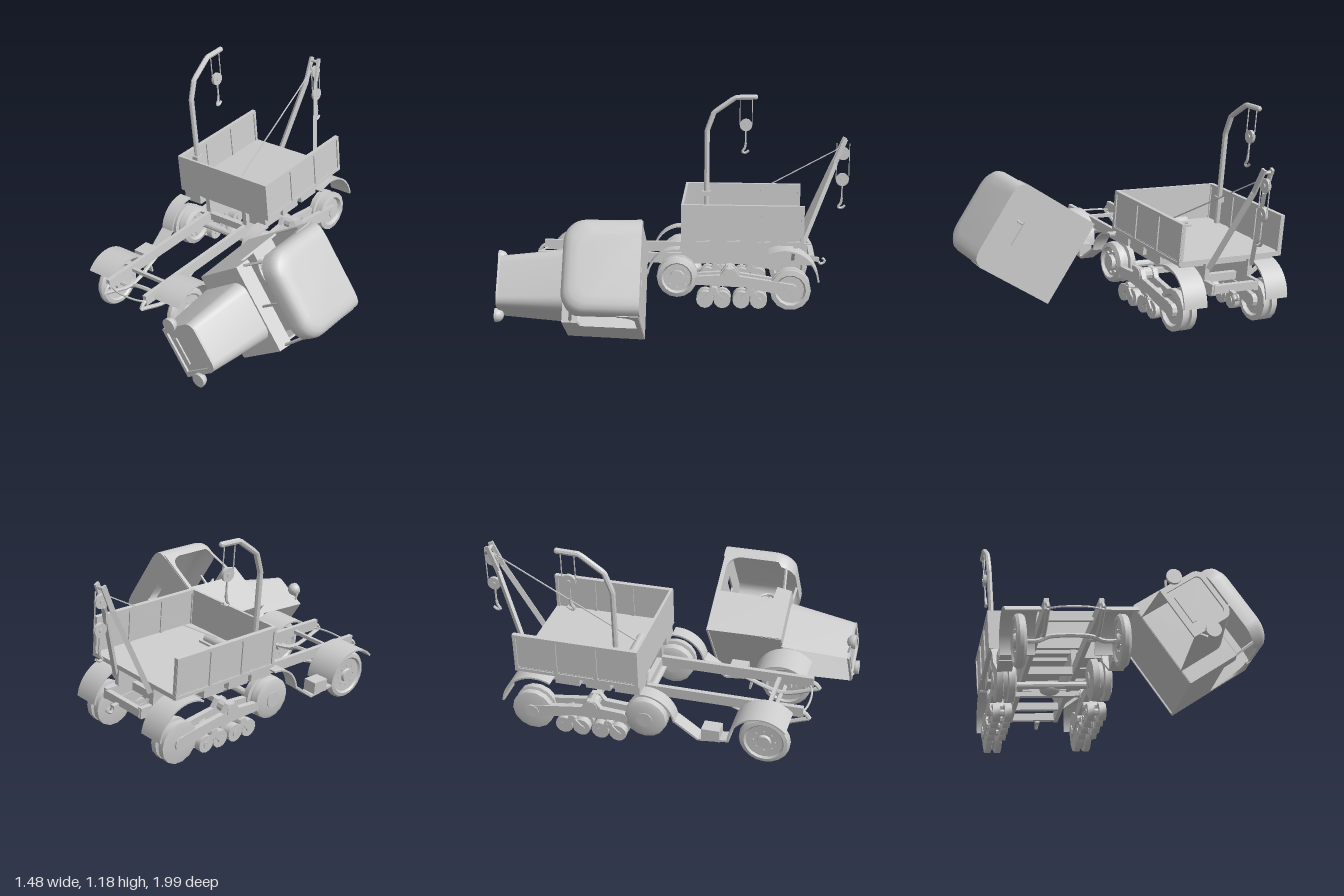
import * as THREE from 'three';
import { toCreasedNormals } from 'three/addons/utils/BufferGeometryUtils.js';

const mat = new THREE.MeshStandardMaterial({ color: 0xcccccc, side: THREE.DoubleSide });
const V = (x, y, z) => new THREE.Vector3(x, y, z);

function add(parent, name, geo, x = 0, y = 0, z = 0, crease = 0.6) {
  const m = new THREE.Mesh(toCreasedNormals(geo, crease), mat);
  m.name = name;
  m.position.set(x, y, z);
  parent.add(m);
  return m;
}
const box = (p, name, w, h, d, x, y, z) => add(p, name, new THREE.BoxGeometry(w, h, d), x, y, z);
// square bar between two points
function bar(p, name, a, b, w, h = w) {
  const m = box(p, name, w, h, a.distanceTo(b), 0, 0, 0);
  m.position.copy(a).lerp(b, 0.5);
  m.lookAt(b);
  return m;
}
function rod(p, name, points, r, seg = 16) {
  return add(p, name, new THREE.TubeGeometry(new THREE.CatmullRomCurve3(points), seg, r, 6));
}
// wheel turned around the x axis; profile of [radius, offset]
function wheel(p, name, profile, x, y, z, sides = 20) {
  const g = new THREE.LatheGeometry(profile.map(q => new THREE.Vector2(q[0], q[1])), sides).rotateZ(-Math.PI / 2);
  return add(p, name, g, x, y, z);
}
const disc = (p, name, r, w, x, y, z, sides = 16) =>
  wheel(p, name, [[0, -w / 2], [r, -w / 2], [r, w / 2], [0, w / 2]], x, y, z, sides);
// plate drawn in (z, y), thickness w along x
function sidePlate(p, name, shape, w, x, y = 0, z = 0) {
  const g = new THREE.ExtrudeGeometry(shape, { depth: w, bevelEnabled: false, curveSegments: 10 });
  return add(p, name, g.translate(0, 0, -w / 2).rotateY(-Math.PI / 2), x, y, z);
}
function arch(p, name, r, from, to, w, x, y, z) {
  const a = from * Math.PI / 180, b = to * Math.PI / 180, s = new THREE.Shape();
  s.absarc(0, 0, r, a, b, false);
  s.absarc(0, 0, r - 0.01, b, a, true);
  return sidePlate(p, name, s, w, x, y, z);
}
// skin over rings of equally many points
function loft(rings, closed) {
  const n = rings[0].length, pos = rings.flat().flatMap(v => [v.x, v.y, v.z]), idx = [];
  for (let i = 0; i < rings.length - 1; i++)
    for (let j = 0; j < (closed ? n : n - 1); j++) {
      const a = i * n + j, b = i * n + (j + 1) % n;
      idx.push(a, b, a + n, b, b + n, a + n);
    }
  for (let j = 1, o = (rings.length - 1) * n; j < n - 1; j++) idx.push(o, o + j, o + j + 1);
  const g = new THREE.BufferGeometry();
  g.setAttribute('position', new THREE.Float32BufferAttribute(pos, 3));
  g.setIndex(idx);
  g.computeVertexNormals();
  return g;
}
// one or two pulleys with ropes and a hook, hanging in the z-y plane
function tackle(p, x, z, top, pulleys, hookY) {
  const g = new THREE.Group();
  g.name = 'hoistTackle';
  p.add(g);
  for (const y of pulleys) {
    disc(g, 'pulley', 0.038, 0.018, x, y, z);
    disc(g, 'pulleyAxle', 0.012, 0.03, x, y, z, 8);
  }
  const low = pulleys[pulleys.length - 1];
  for (const s of [-1, 1]) bar(g, 'rope', V(x, low, z + s * 0.037), V(x, top, z + s * 0.037), 0.005);
  bar(g, 'hookRope', V(x, low, z), V(x, hookY + 0.06, z), 0.008);
  rod(g, 'hook', [V(x, hookY + 0.06, z), V(x, hookY + 0.03, z + 0.005), V(x, hookY + 0.005, z + 0.02),
    V(x, hookY, z), V(x, hookY + 0.015, z - 0.02)], 0.008);
}

function buildChassis() {
  const t = new THREE.Group();
  t.name = 'chassis';
  // ladder frame
  for (const s of [-1, 1]) {
    box(t, 'frameRail', 0.025, 0.06, 1.62, s * 0.14, 0.3, 0.02);
    rod(t, 'railHorn', [V(s * 0.14, 0.3, 0.8), V(s * 0.14, 0.29, 0.84), V(s * 0.14, 0.26, 0.865)], 0.012);
    rod(t, 'frontSpring', [V(s * 0.14, 0.26, 0.86), V(s * 0.14, 0.2, 0.65), V(s * 0.14, 0.27, 0.44)], 0.012);
    box(t, 'bedBearer', 0.03, 0.1, 0.68, s * 0.14, 0.375, -0.375);
  }
  for (const z of [-0.78, -0.6, -0.3, -0.05]) box(t, 'crossMember', 0.28, 0.045, 0.03, 0, 0.3, z);
  rod(t, 'frontBrace', [V(-0.14, 0.28, 0.81), V(-0.07, 0.28, 0.835), V(0.07, 0.28, 0.835), V(0.14, 0.28, 0.81)], 0.006);
  box(t, 'frontCrossBar', 0.28, 0.02, 0.02, 0, 0.3, 0.64);
  rod(t, 'frontAxle', [V(-0.25, 0.175, 0.65), V(-0.17, 0.175, 0.65), V(-0.11, 0.2, 0.65), V(0.11, 0.2, 0.65),
    V(0.17, 0.175, 0.65), V(0.25, 0.175, 0.65)], 0.012, 24);
  disc(t, 'rearAxle', 0.02, 0.5, 0, 0.215, -0.05, 10);
  add(t, 'differential', new THREE.SphereGeometry(0.05, 14, 10), 0, 0.21, -0.085).scale.set(1.2, 0.8, 1);
  bar(t, 'trackAxle', V(-0.25, 0.26, -0.3), V(0.25, 0.26, -0.3), 0.03);
  bar(t, 'towBar', V(0.03, 0.28, -0.78), V(0.03, 0.275, -0.83), 0.025);
  rod(t, 'towHook', [V(0.03, 0.275, -0.82), V(0.03, 0.25, -0.84), V(0.03, 0.265, -0.865), V(0.03, 0.285, -0.85)], 0.008);

  for (const s of [-1, 1]) {
    const x = s * 0.265;
    // front wheels and fenders
    wheel(t, 'frontWheel', [[0, -0.03], [0.035, -0.03], [0.04, -0.016], [0.1, -0.018], [0.11, -0.028], [0.13, -0.024],
      [0.14, -0.01], [0.14, 0.01], [0.13, 0.024], [0.11, 0.028], [0.1, 0.018], [0.04, 0.016], [0.035, 0.03], [0, 0.03]],
      x, 0.175, 0.65);
    for (let i = 0; i < 8; i++)
      disc(t, 'frontWheelBolt', 0.006, 0.044, x, 0.175 + 0.06 * Math.sin(i * Math.PI / 4), 0.65 + 0.06 * Math.cos(i * Math.PI / 4), 6);
    arch(t, 'frontFender', 0.18, 40, 180, 0.185, s * 0.25, 0.175, 0.64);
    // running strip joining the fenders
    bar(t, 'runningBoard', V(s * 0.3, 0.18, 0.465), V(s * 0.3, 0.16, 0.3), 0.08, 0.012);
    bar(t, 'runningBoardRise', V(s * 0.3, 0.16, 0.3), V(s * 0.3, 0.255, 0.17), 0.08, 0.012);
    box(t, 'stepBox', 0.08, 0.07, 0.1, s * 0.3, 0.2, 0.37);
    // drive wheels
    wheel(t, 'driveWheel', [[0.02, -0.06], [0.09, -0.06], [0.115, -0.05], [0.12, -0.015], [0.1, -0.01], [0.1, 0.01],
      [0.12, 0.015], [0.115, 0.05], [0.09, 0.06], [0.08, 0.04], [0.02, 0.04]], x, 0.225, 0, 16);
    disc(t, 'driveHub', 0.045, 0.13, x, 0.225, 0, 12);
    for (let i = 0; i < 8; i++)
      disc(t, 'wheelBolt', 0.008, 0.1, x, 0.225 + 0.062 * Math.sin(i * Math.PI / 4), 0.062 * Math.cos(i * Math.PI / 4), 6);
    arch(t, 'midFender', 0.175, 8, 95, 0.08, s * 0.3, 0.225, 0);
    // rear idler wheels
    wheel(t, 'idlerWheel', [[0, -0.05], [0.09, -0.05], [0.118, -0.045], [0.118, -0.012], [0.1, -0.008], [0.1, 0.008],
      [0.118, 0.012], [0.118, 0.045], [0.09, 0.05], [0.08, 0.03], [0, 0.03]], x, 0.16, -0.655, 14);
    disc(t, 'idlerHub', 0.04, 0.12, x, 0.16, -0.655, 10);
    arch(t, 'rearFender', 0.2, 62, 175, 0.145, x, 0.2, -0.62);
    bar(t, 'fenderStay', V(s * 0.14, 0.3, -0.67), V(x, 0.385, -0.67), 0.018);
    // track beam
    const beam = new THREE.Shape();
    beam.moveTo(-0.1, 0.2);
    beam.absarc(-0.13, 0.205, 0.032, -0.6, 1.6, false);
    beam.lineTo(-0.25, 0.245);
    beam.lineTo(-0.28, 0.285);
    beam.lineTo(-0.33, 0.285);
    beam.lineTo(-0.36, 0.24);
    beam.absarc(-0.655, 0.16, 0.038, 1.5, 4.6, false);
    beam.lineTo(-0.4, 0.175);
    sidePlate(t, 'trackBeam', beam, 0.03, s * 0.305);
    sidePlate(t, 'trackBeam', beam, 0.03, s * 0.225);
    disc(t, 'beamPivot', 0.035, 0.12, x, 0.25, -0.305, 10);
    // road wheel bogies
    for (const z of [-0.212, -0.422]) {
      for (const d of [-0.05, 0.05]) {
        for (const o of [-0.033, 0.033]) disc(t, 'roadWheel', 0.05, 0.04, x + o, 0.098, z + d, 12);
        disc(t, 'roadWheelHub', 0.02, 0.118, x, 0.098, z + d, 8);
        bar(t, 'bogieArm', V(s * 0.32, 0.098, z + d), V(s * 0.32, 0.15, z), 0.015, 0.03);
      }
      disc(t, 'bogiePivot', 0.025, 0.12, x, 0.15, z, 10);
      bar(t, 'bogieLink', V(x, 0.14, z), V(x, 0.2, z - 0.03), 0.04);
    }
  }
  buildBed(t);
  return t;
}

function buildBed(t) {
  // open-backed load bed
  box(t, 'bedFloor', 0.66, 0.025, 0.7, 0, 0.442, -0.375);
  box(t, 'bedFrontBoard', 0.67, 0.23, 0.015, 0, 0.545, -0.03);
  for (const z of [-0.06, -0.17, -0.345, -0.52, -0.68]) box(t, 'bedCrossBeam', 0.6, 0.025, 0.025, 0, 0.42, z);
  for (const s of [-1, 1]) {
    box(t, 'bedSideBoard', 0.012, 0.23, 0.7, s * 0.322, 0.545, -0.375);
    for (const y of [0.44, 0.651]) box(t, 'sideBoardRail', 0.026, 0.018, 0.7, s * 0.322, y, -0.375);
    for (let i = 0; i < 4; i++) box(t, 'sideBoardPost', 0.026, 0.23, 0.018, s * 0.322, 0.545, -0.034 - i * 0.227);
    for (const z of [-0.095, -0.26, -0.435]) box(t, 'underBedLocker', 0.12, 0.06, 0.14, s * 0.25, 0.4, z);
  }
  // winch and cable
  box(t, 'winchBase', 0.2, 0.012, 0.09, -0.005, 0.46, -0.13);
  disc(t, 'winchDrum', 0.03, 0.17, -0.005, 0.475, -0.13, 12);
  bar(t, 'winchCable', V(0, 0.5, -0.13), V(0, 0.945, -0.94), 0.006);
  // rear A-frame crane
  for (const s of [-1, 1]) {
    const foot = V(s * 0.14, 0.4, -0.725), knee = V(s * 0.035, 0.86, -0.908), tip = V(s * 0.026, 1.0, -0.965);
    bar(t, 'aFrameLeg', foot, knee, 0.02, 0.028);
    bar(t, 'aFrameTip', knee, tip, 0.014, 0.028);
  }
  disc(t, 'aFramePin', 0.01, 0.06, 0, 0.98, -0.957, 8);
  tackle(t, 0, -0.955, 0.97, [0.91, 0.755], 0.585);
  // side jib crane
  const jib = new THREE.CurvePath();
  const j = [[0.45, -0.15], [0.99, -0.15], [1.1, -0.19], [1.192, -0.32], [1.196, -0.44]].map(q => V(-0.298, q[0], q[1]));
  for (let i = 0; i < 4; i++) jib.add(new THREE.LineCurve3(j[i], j[i + 1]));
  add(t, 'jibArm', new THREE.TubeGeometry(jib, 40, 0.016, 8));
  add(t, 'jibTip', new THREE.SphereGeometry(0.016, 8, 6), -0.298, 1.196, -0.44);
  box(t, 'jibBracket', 0.05, 0.03, 0.05, -0.3, 0.6, -0.15);
  tackle(t, -0.298, -0.385, 1.19, [1.025], 0.855);
}

function buildCab() {
  const c = new THREE.Group();
  c.name = 'cabBody';
  // rear wall with a small window
  const rear = new THREE.Shape([[-0.266, 0], [0.266, 0], [0.261, 0.53], [0.23, 0.57], [-0.23, 0.57], [-0.261, 0.53]].map(p => new THREE.Vector2(...p)));
  rear.holes.push(new THREE.Path([[-0.075, 0.415], [-0.075, 0.465], [0.075, 0.465], [0.075, 0.415]].map(p => new THREE.Vector2(...p))));
  add(c, 'rearWall', new THREE.ExtrudeGeometry(rear, { depth: 0.01, bevelEnabled: false }), 0, 0, 0.163);
  // door sides with open windows, drawn in slightly towards the front
  for (const s of [-1, 1]) {
    const d = new THREE.Shape();
    d.moveTo(0.165, 0);
    d.lineTo(0.595, 0.012);
    d.lineTo(0.595, 0.32);
    d.lineTo(0.51, 0.335);
    d.lineTo(0.5, 0.26);
    d.lineTo(0.19, 0.26);
    d.lineTo(0.19, 0.42);
    d.quadraticCurveTo(0.2, 0.49, 0.28, 0.495);
    d.lineTo(0.28, 0.52);
    d.lineTo(0.165, 0.52);
    sidePlate(c, 'doorSide', d, 0.012, s * 0.268).rotation.y = -s * 0.028;
    bar(c, 'windshieldPillar', V(s * 0.245, 0.32, 0.55), V(s * 0.23, 0.48, 0.53), 0.012);
  }
  bar(c, 'windshieldDivider', V(0, 0.32, 0.56), V(0, 0.48, 0.57), 0.012);
  box(c, 'firewall', 0.51, 0.31, 0.01, 0, 0.165, 0.59);
  bar(c, 'cowlTop', V(0, 0.318, 0.595), V(0, 0.333, 0.51), 0.51, 0.008);
  // floor and bench
  box(c, 'cabFloor', 0.505, 0.01, 0.42, 0, 0.013, 0.38);
  box(c, 'bench', 0.5, 0.18, 0.165, 0, 0.1, 0.255);
  // roof shell, rounded at the front
  const plan = (inset, y, frontY) => {
    const w = 0.263 - inset, f = 0.58 - inset, r = 0.12 - inset * 0.4, pts = [V(w, y, 0.158)];
    for (let i = 0; i <= 8; i++) {
      const a = i * Math.PI / 16;
      pts.push(V(w - r + r * Math.cos(a), i > 1 ? frontY : y, f - r + r * Math.sin(a)));
    }
    return [...pts, ...pts.slice().reverse().map(p => V(-p.x, p.y, p.z))].reverse();
  };
  add(c, 'roof', loft([plan(0, 0.495, 0.468), plan(0, 0.525, 0.525), plan(0.008, 0.552, 0.552), plan(0.025, 0.571, 0.571),
    plan(0.05, 0.58, 0.58), plan(0.09, 0.584, 0.584)], true), 0, 0, 0, 0.9);
  // tapered hood with rounded shoulders
  const section = (w, h, z, r) => {
    const pts = [V(w, 0, z)];
    for (let i = 0; i <= 6; i++) pts.push(V(w - r * (1 - Math.cos(i * Math.PI / 12)), h - r * (1 - Math.sin(i * Math.PI / 12)), z));
    return [...pts, ...pts.slice().reverse().map(p => V(-p.x, p.y, p.z))];
  };
  add(c, 'hood', loft([section(0.177, 0.312, 0.59, 0.07), section(0.147, 0.25, 0.965, 0.05)], false), 0, 0, 0, 0.9);
  // radiator frame and slot
  const outer = section(0.147, 0.25, 0, 0.05), inner = section(0.118, 0.205, 0, 0.03);
  const frame = new THREE.Shape(outer.map(p => new THREE.Vector2(p.x, p.y)));
  frame.holes.push(new THREE.Path(inner.map(p => new THREE.Vector2(p.x, p.y + 0.02))));
  add(c, 'radiatorFrame', new THREE.ExtrudeGeometry(frame, { depth: 0.012, bevelEnabled: false }), 0, 0, 0.965);
  box(c, 'radiatorSlot', 0.16, 0.025, 0.012, 0, 0.055, 0.968);
  // headlights on brackets
  for (const s of [-1, 1]) {
    const lamp = new THREE.SphereGeometry(0.04, 16, 8, 0, Math.PI * 2, 0, Math.PI / 2).rotateX(-Math.PI / 2);
    add(c, 'headlight', lamp, s * 0.168, 0.1, 0.99);
    add(c, 'headlightLens', new THREE.CylinderGeometry(0.04, 0.04, 0.012, 16).rotateX(Math.PI / 2), s * 0.168, 0.1, 0.994);
    bar(c, 'headlightBracket', V(s * 0.13, 0.03, 0.96), V(s * 0.18, 0.06, 0.975), 0.01);
  }
  // steering wheel, column running down and forward
  const w = new THREE.Group();
  w.name = 'steeringWheel';
  w.position.set(-0.13, 0.29, 0.41);
  w.rotation.x = 0.95;
  c.add(w);
  add(w, 'steeringRim', new THREE.TorusGeometry(0.075, 0.007, 6, 20));
  for (let i = 0; i < 3; i++) box(w, 'steeringSpoke', 0.15, 0.01, 0.008, 0, 0, 0).rotation.z = i * Math.PI / 3;
  bar(w, 'steeringColumn', V(0, 0, 0), V(0, 0, 0.22), 0.016);
  return c;
}

export function createModel() {
  const model = new THREE.Group();
  model.name = 'dismantledHalfTrack';
  // chassis leans slightly; the cab lies tipped beside it
  const chassis = buildChassis();
  chassis.position.x = -0.33;
  chassis.rotation.z = 0.084;
  const cab = buildCab();
  cab.position.set(0.133, 0.217, 0);
  cab.rotation.z = -0.951;
  model.add(chassis, cab);
  return model;
}
